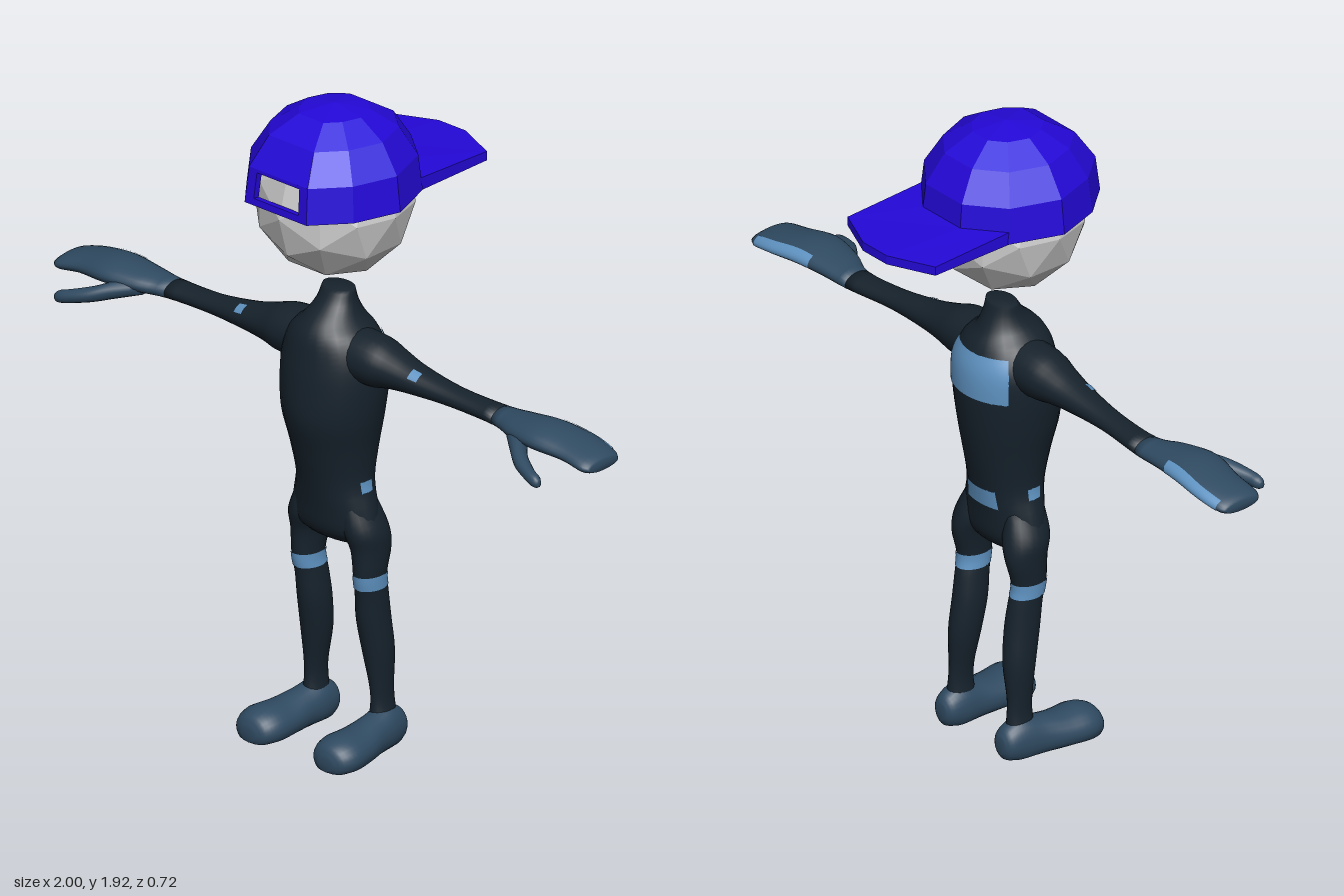
import * as THREE from 'three';

const paint = (color, extra = {}) => new THREE.MeshStandardMaterial({ color, ...extra });
const suit = paint(0x16222c), light = paint(0x2f4a61), accent = paint(0x5f93c2);
const grey = paint(0xcccccc, { flatShading: true });
const blue = paint(0x2408d8, { flatShading: true, side: THREE.DoubleSide });

// For each axis: where the axis position, cosine and sine components go.
const ORDER = { y: [1, 0, 2], x: [0, 2, 1], z: [2, 1, 0] };

// Smooth loft through sections [position, cosCentre, sinCentre, cosRadius, sinRadius].
// from/to are section indices, a0/a1 limit the angle so patches can follow the surface.
function loft(axis, sections, opt = {}) {
  const { from = 0, to = sections.length - 1, a0 = 0, a1 = Math.PI * 2, grow = 0, cap = true, sides = 24 } = opt;
  const centres = new THREE.CatmullRomCurve3(sections.map(s => new THREE.Vector3(s[0], s[1], s[2])), false, 'catmullrom');
  const radii = new THREE.CatmullRomCurve3(sections.map(s => new THREE.Vector3(s[3], s[4], 0)), false, 'catmullrom');
  const full = a1 - a0 > 6.28, steps = Math.max(3, Math.ceil((to - from) * 4));
  const pos = [], index = [], cols = full ? sides : sides + 1, order = ORDER[axis];
  const put = (p, u, v) => {
    const q = [0, 0, 0];
    q[order[0]] = p; q[order[1]] = u; q[order[2]] = v;
    q[1] = Math.max(q[1], 0);
    pos.push(...q);
  };
  for (let i = 0; i <= steps; i++) {
    const t = (from + (to - from) * i / steps) / (sections.length - 1);
    const c = centres.getPoint(t), r = radii.getPoint(t);
    for (let j = 0; j < cols; j++) {
      const a = a0 + (a1 - a0) * j / sides;
      put(c.x, c.y + (r.x + grow) * Math.cos(a), c.z + (r.y + grow) * Math.sin(a));
    }
  }
  for (let i = 0; i < steps; i++) for (let j = 0; j < sides; j++) {
    const a = i * cols + j, b = i * cols + (j + 1) % cols;
    index.push(a, a + cols, b, b, a + cols, b + cols);
  }
  if (full && cap) for (const end of [0, 1]) {
    const c = centres.getPoint((end ? to : from) / (sections.length - 1));
    const centre = pos.length / 3, base = end * steps * cols;
    put(c.x, c.y, c.z);
    for (let j = 0; j < sides; j++) {
      const a = base + j, b = base + (j + 1) % sides;
      index.push(centre, ...(end ? [b, a] : [a, b]));
    }
  }
  const geo = new THREE.BufferGeometry();
  geo.setAttribute('position', new THREE.Float32BufferAttribute(pos, 3));
  geo.setIndex(index);
  geo.computeVertexNormals();
  return geo;
}

function mirror(geo) {
  const g = geo.clone().scale(-1, 1, 1), ix = g.index.array;
  for (let i = 0; i < ix.length; i += 3) [ix[i], ix[i + 1]] = [ix[i + 1], ix[i]];
  g.computeVertexNormals();
  return g;
}

function createCap() {
  const cap = new THREE.Group();
  cap.name = 'cap';
  // Crown: one outline scaled up through rings, leaving out the front panel
  const outline = [[.245, 0], [.2, .14], [.115, .24], [-.115, .24], [-.2, .14],
    [-.245, 0], [-.19, -.15], [-.08, -.238], [.08, -.238], [.19, -.15]];
  const rings = [[1.66, 1], [1.765, .95], [1.85, .73], [1.9, .4], [1.917, 0]];
  const pos = [], n = outline.length;
  const at = (i, j) => {
    const [y, k] = rings[i], [x, z] = outline[j % n];
    return [x * k, y, .115 + z * k];
  };
  for (let i = 0; i < rings.length - 1; i++) for (let j = 0; j < n; j++) {
    if (i === 0 && j === 2) continue;
    pos.push(...at(i, j), ...at(i + 1, j), ...at(i, j + 1));
    if (i < rings.length - 2) pos.push(...at(i, j + 1), ...at(i + 1, j), ...at(i + 1, j + 1));
  }
  const crown = new THREE.BufferGeometry();
  crown.setAttribute('position', new THREE.Float32BufferAttribute(pos, 3));
  crown.computeVertexNormals();

  // Front panel with its adjustment opening
  const polygon = (pts, Type = THREE.Shape) => new Type(pts.map(p => new THREE.Vector2(...p)));
  const panel = polygon([[-.115, 0], [.115, 0], [.109, .106], [-.109, .106]]);
  panel.holes.push(polygon([[-.083, .02], [-.079, .096], [.079, .096], [.083, .02]], THREE.Path));
  const frame = new THREE.ExtrudeGeometry(panel, { depth: .02, bevelEnabled: false });
  frame.translate(0, 0, -.02).rotateX(-.114).translate(0, 1.66, .355);

  // Brim pointing backwards, thinner at its tip
  const brim = new THREE.ExtrudeGeometry(polygon([[-.185, .03], [-.08, .115], [.08, .115], [.185, .03],
    [.185, .3], [.05, .36], [-.05, .36], [-.185, .3]]), { depth: .038, bevelEnabled: false });
  brim.rotateX(-Math.PI / 2).translate(0, 1.657, 0);
  const p = brim.attributes.position;
  for (let i = 0; i < p.count; i++) if (p.getY(i) > 1.68 && p.getZ(i) < -.2) p.setY(i, 1.684);
  brim.computeVertexNormals();

  for (const [name, geo] of [['capCrown', crown], ['capOpening', frame], ['capBrim', brim]]) {
    const m = new THREE.Mesh(geo, blue);
    m.name = name;
    cap.add(m);
  }
  return cap;
}

export function createModel() {
  const model = new THREE.Group();
  model.name = 'figure';
  const add = (name, geo, mat) => {
    const m = new THREE.Mesh(geo, mat);
    m.name = name;
    model.add(m);
  };
  const pair = (name, geo, mat) => {
    add(name + 'Left', geo, mat);
    add(name + 'Right', mirror(geo), mat);
  };

  // Floating faceted head
  add('head', new THREE.IcosahedronGeometry(.226, 1).translate(0, 1.636, .115), grey);
  model.add(createCap());

  // Torso and neck: [y, x centre, z centre, x radius, z radius]
  const torso = [[.615, 0, .1, .12, .05], [.65, 0, .107, .148, .074], [.72, 0, .11, .138, .084],
    [.8, 0, .112, .118, .098], [.9, 0, .115, .128, .12], [1, 0, .12, .148, .14],
    [1.1, 0, .115, .16, .142], [1.18, 0, .112, .156, .134], [1.24, 0, .117, .125, .116],
    [1.28, 0, .117, .082, .09], [1.32, 0, .105, .06, .058], [1.36, 0, .098, .052, .036]];
  add('torso', loft('y', torso), suit);
  const back = -Math.PI / 2;
  add('upperBackPatch', loft('y', torso, { from: 6, to: 7.8, a0: back - .85, a1: back + .85, grow: .003 }), accent);
  add('lowerBackPatch', loft('y', torso, { from: 2.3, to: 3, a0: back - .5, a1: back + .5, grow: .003 }), accent);
  pair('hipPatch', loft('y', torso, { from: 2.7, to: 3.1, a0: -.2, a1: .25, grow: .003 }), accent);

  // Legs
  const leg = [[.74, .085, .11, .035, .06], [.66, .1, .1, .058, .072], [.6, .112, .09, .048, .066],
    [.52, .115, .097, .04, .054], [.46, .112, .087, .041, .053], [.38, .11, .077, .044, .054],
    [.28, .115, .063, .041, .05], [.18, .122, .058, .029, .04], [.12, .124, .056, .027, .041],
    [.05, .126, .058, .04, .05]].reverse();
  pair('leg', loft('y', leg), suit);
  pair('kneeBand', loft('y', leg, { from: 5.4, to: 6.1, grow: .002, cap: false }), accent);

  // Feet: [z, y centre, x centre, y radius, x radius], flattened on the ground
  const foot = [[-.016, .045, .125, .025, .02], [.002, .045, .126, .05, .04], [.05, .045, .128, .07, .05],
    [.11, .04, .133, .062, .055], [.18, .035, .139, .055, .068], [.25, .034, .143, .056, .075],
    [.295, .03, .144, .045, .058], [.312, .026, .144, .02, .025]];
  pair('foot', loft('z', foot), light);

  // Arms and mitten hands: [x, z centre, y centre, z radius, y radius]
  const arm = [[.03, .115, 1.19, .08, .075], [.16, .115, 1.185, .078, .073], [.23, .113, 1.18, .065, .056],
    [.31, .112, 1.172, .052, .041], [.45, .107, 1.162, .039, .028], [.61, .1, 1.155, .045, .026],
    [.7, .113, 1.16, .066, .031], [.8, .117, 1.163, .081, .036], [.9, .106, 1.152, .077, .031],
    [.975, .11, 1.138, .073, .026], [1, .11, 1.133, .058, .015]];
  pair('arm', loft('x', arm, { to: 5 }), suit);
  pair('hand', loft('x', arm, { from: 5 }), light);
  pair('forearmPatch', loft('x', arm, { from: 3, to: 3.25, a0: .5, a1: 1.2, grow: .002 }), accent);
  const thumb = [[.69, .14, 1.148, .03, .022], [.75, .185, 1.137, .035, .026], [.8, .228, 1.122, .028, .023],
    [.86, .257, 1.107, .02, .02], [.89, .264, 1.1, .016, .018], [.903, .266, 1.097, .007, .009]];
  pair('thumb', loft('x', thumb, { sides: 14 }), light);
  pair('handEdgePatch', loft('x', arm, { from: 6.5, to: 9, a0: 2.4, a1: 3.4, grow: .002 }), accent);

  return model;
}
